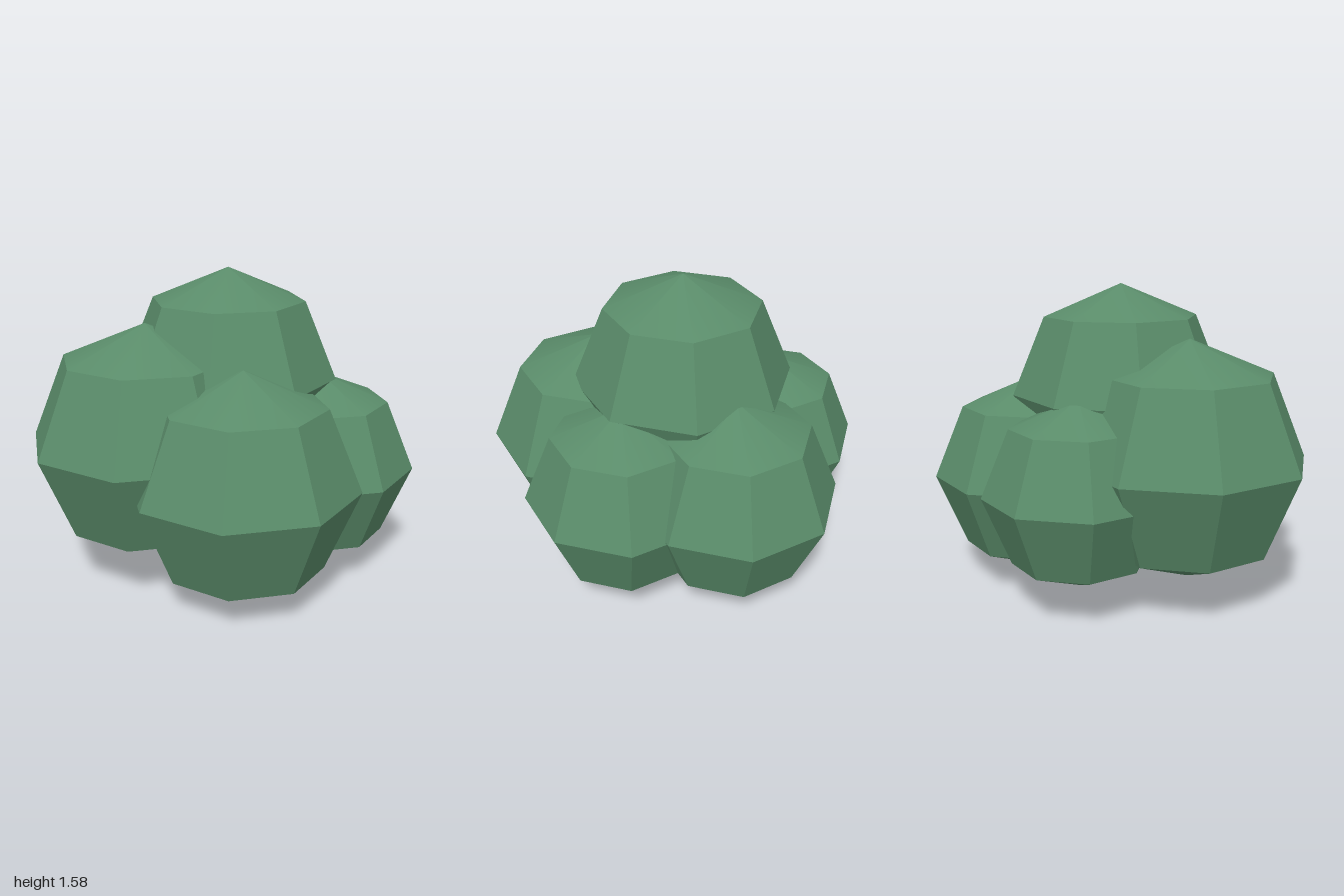
import * as THREE from 'three';
import { toCreasedNormals } from 'three/addons/utils/BufferGeometryUtils.js';

export function createModel() {
  const bush = new THREE.Group();
  bush.name = 'bush';

  const leafGreen = new THREE.MeshStandardMaterial({ color: 0x5a8c6a });
  leafGreen.name = 'leaf green';

  // Low-poly ball: faceted sides, softly shaded caps
  const ball = toCreasedNormals(new THREE.SphereGeometry(1, 8, 4), Math.PI / 6);

  // Overlapping foliage clumps: name, radius, centre
  const clumps = [
    ['topClump', 0.56, 0, 1.02, -0.03],
    ['frontClump', 0.58, 0.15, 0.585, 0.42],
    ['rightSideClump', 0.605, -0.37, 0.73, 0.24],
    ['leftSideClump', 0.5, 0.475, 0.555, -0.03],
    ['backClump', 0.525, 0.15, 0.57, -0.475],
    ['backRightClump', 0.475, -0.375, 0.59, -0.305],
  ];
  for (const [name, radius, x, y, z] of clumps) {
    const clump = new THREE.Mesh(ball, leafGreen);
    clump.name = name;
    clump.scale.setScalar(radius);
    clump.position.set(x, y, z);
    bush.add(clump);
  }
  return bush;
}
